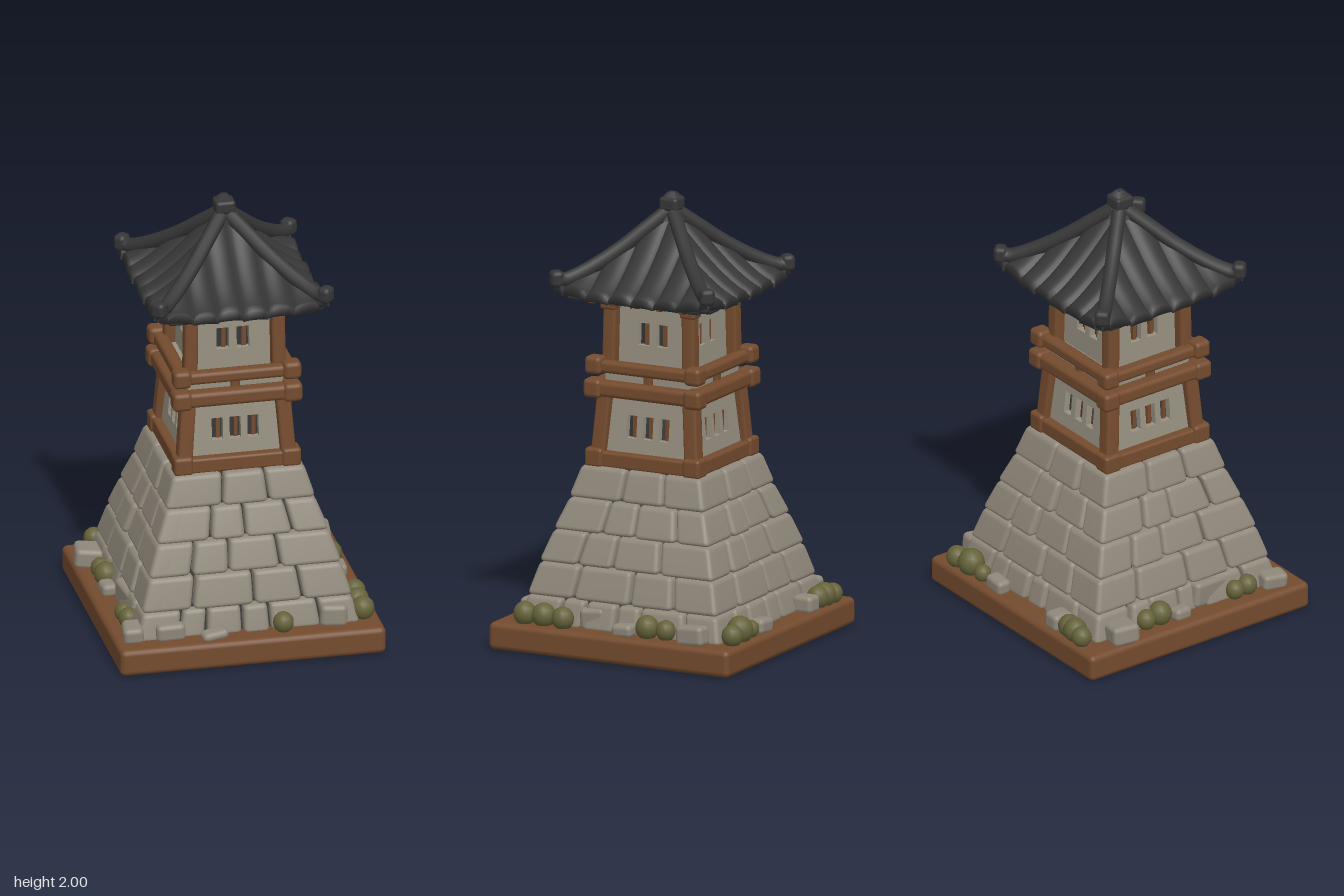
import * as THREE from 'three';
import { RoundedBoxGeometry } from 'three/addons/geometries/RoundedBoxGeometry.js';
import { mergeVertices } from 'three/addons/utils/BufferGeometryUtils.js';

const mat = (name, color, side = THREE.FrontSide) => {
  const m = new THREE.MeshStandardMaterial({ color, side });
  m.name = name;
  return m;
};

export function createModel() {
  const tower = new THREE.Group();
  tower.name = 'watchtower';
  const wood = mat('wood', 0x744b2e);
  const stone = mat('stone', 0x8f877a);
  const mortar = mat('mortar', 0x3c3b3c);
  const plaster = mat('plaster', 0x979081);
  const tile = mat('roof tile', 0x363637, THREE.DoubleSide);
  const moss = mat('moss', 0x65623a);

  let seed = 7;
  const rnd = () => (seed = (seed * 16807) % 2147483647) / 2147483647;
  const add = (parent, name, geo, m, x = 0, y = 0, z = 0) => {
    const mesh = new THREE.Mesh(geo, m);
    mesh.name = name;
    mesh.position.set(x, y, z);
    parent.add(mesh);
    return mesh;
  };
  const rbox = (w, h, d, r = 0.012) => new RoundedBoxGeometry(w, h, d, 2, r);
  // Moves every vertex by a rule and recomputes the normals
  const warp = (geo, rule) => {
    const p = geo.attributes.position, v = new THREE.Vector3();
    for (let i = 0; i < p.count; i++) {
      rule(v.fromBufferAttribute(p, i));
      p.setXYZ(i, v.x, v.y, v.z);
    }
    geo.computeVertexNormals();
    return geo;
  };
  // Rounded box with shared vertices, so that it stays smooth when warped
  const softBox = (w, h, d, r) => {
    const geo = rbox(w, h, d, r);
    geo.deleteAttribute('normal');
    geo.deleteAttribute('uv');
    return mergeVertices(geo, 1e-5);
  };
  // Builds the same thing on all four sides
  const fourSides = (name, build) => {
    for (let k = 0; k < 4; k++) {
      const side = new THREE.Group();
      side.name = name;
      side.rotation.y = k * Math.PI / 2;
      build(side, k);
      tower.add(side);
    }
  };
  // Square frustum with half widths at bottom and top
  const frustum = (h0, h1, height) =>
    new THREE.CylinderGeometry(h1 * Math.SQRT2, h0 * Math.SQRT2, height, 4).rotateY(Math.PI / 4);

  // Ground slab
  add(tower, 'groundSlab', rbox(1.19, 0.122, 1.19, 0.025), wood, 0, 0.061, 0);

  // Battered stone base: courses of tapered blocks around a mortar core
  add(tower, 'mortarCore', frustum(0.465, 0.255, 0.69), mortar, 0, 0.455, 0);
  const courses = [ // bottom y, top y, bottom half, top half, joints as fractions
    [0.11, 0.235, 0.5, 0.468, [-1, -0.62, -0.38, -0.05, 0.2, 0.66, 1]],
    [0.235, 0.38, 0.472, 0.43, [-1, -0.52, 0.07, 0.53, 1]],
    [0.38, 0.52, 0.434, 0.385, [-1, -0.56, -0.17, 0.37, 1]],
    [0.52, 0.66, 0.388, 0.334, [-1, -0.38, 0.03, 0.58, 1]],
    [0.66, 0.80, 0.338, 0.295, [-1, -0.24, 0.38, 1]],
  ];
  fourSides('stoneSide', (side, k) => {
    courses.forEach(([y0, y1, h0, h1, cuts]) => {
      const hm = (h0 + h1) / 2, h = y1 - y0;
      for (let i = 0; i < cuts.length - 1; i++) {
        const first = i === 0, last = i === cuts.length - 2, corner = first || last;
        const a = first ? -1 : cuts[i] + 0.01 + (k ? (rnd() - 0.5) * 0.02 : 0);
        const b = last ? 1 : cuts[i + 1] - 0.01;
        const out = corner ? 0 : (rnd() - 0.5) * 0.016;
        const tilt = corner ? 0 : (rnd() - 0.5) * 0.08;
        const geo = warp(softBox((b - a) * hm, h, 0.1, 0.022), (v) => {
          const half = h0 + (h1 - h0) * (v.y + h / 2) / h;
          v.x = (v.x + (a + b) / 2 * hm) * half / hm + v.y * tilt;
          v.z += half - 0.05 + out;
        });
        add(side, 'stoneBlock', geo, stone, 0, (y0 + y1) / 2, 0);
      }
    });
  });

  // Loose rocks: x, z, width, height, depth
  [[-0.52, -0.38, 0.13, 0.09, 0.13], [0.52, -0.38, 0.08, 0.09, 0.14], [-0.51, 0.45, 0.09, 0.075, 0.12],
    [-0.16, 0.52, 0.12, 0.045, 0.07], [0.52, -0.04, 0.07, 0.06, 0.1], [-0.51, -0.05, 0.07, 0.06, 0.09],
    [0.17, -0.535, 0.11, 0.07, 0.07], [-0.26, -0.525, 0.09, 0.08, 0.1], [-0.35, 0.49, 0.13, 0.08, 0.06],
    [0.38, 0.49, 0.12, 0.1, 0.06], [-0.45, 0.14, 0.08, 0.12, 0.2], [0.46, 0.14, 0.06, 0.1, 0.12],
  ].forEach(([x, z, w, h, d]) => {
    const rock = add(tower, 'looseRock', rbox(w, h, d, 0.022), stone, x, 0.112 + h / 2, z);
    rock.rotation.set(rnd() * 0.2 - 0.1, rnd() * 0.3 - 0.15, rnd() * 0.2 - 0.1);
  });

  // Mossy bushes: x, z, radius
  [[-0.46, -0.55, 0.045], [-0.4, -0.54, 0.053], [-0.35, -0.535, 0.05], [0.28, -0.54, 0.038], [0.37, -0.535, 0.06],
    [0.46, -0.545, 0.048], [-0.5, -0.23, 0.045], [-0.495, -0.15, 0.053], [0.505, -0.24, 0.045], [0.51, -0.15, 0.053],
    [-0.505, 0.25, 0.042], [-0.5, 0.32, 0.045], [0.525, 0.26, 0.05], [0.515, 0.36, 0.053], [0.52, 0.45, 0.052],
    [0.15, 0.515, 0.046],
  ].forEach(([x, z, r]) => {
    add(tower, 'bush', new THREE.SphereGeometry(r, 14, 10), moss, x, 0.13 + r * 0.65, z).scale.y = 1.05;
  });

  // Plaster wall with window openings, leaning inward
  const wall = (side, y0, y1, half, z0, z1, winX, winY, winW, winH) => {
    const shape = new THREE.Shape([[-half, 0], [half, 0], [half, y1 - y0], [-half, y1 - y0]]
      .map(([x, y]) => new THREE.Vector2(x, y)));
    winX.forEach((x) => {
      const l = x - winW / 2, r = x + winW / 2, b = winY - y0, t = b + winH;
      shape.holes.push(new THREE.Path([[l, b], [l, t], [r, t], [r, b]].map(([p, q]) => new THREE.Vector2(p, q))));
    });
    const lean = (z1 - z0) / (y1 - y0);
    const geo = new THREE.ExtrudeGeometry(shape, { depth: 0.03, bevelEnabled: false });
    add(side, 'plasterWall', warp(geo, (v) => { v.z += z0 - 0.03 + v.y * lean; }), plaster, 0, y0, 0);
    // Wooden slat inside each opening
    winX.forEach((x) => add(side, 'windowSlat', new THREE.BoxGeometry(winW * 0.35, winH, 0.01), wood,
      x + winW * 0.12, winY + winH / 2, z0 + lean * (winY - y0 + winH / 2) - 0.022));
  };
  add(tower, 'lowerRoomCore', frustum(0.205, 0.178, 0.33), mortar, 0, 0.96, 0);
  add(tower, 'upperRoomCore', frustum(0.15, 0.143, 0.34), mortar, 0, 1.4, 0);
  add(tower, 'balconyFloor', new THREE.BoxGeometry(0.43, 0.09, 0.43), plaster, 0, 1.19, 0);

  fourSides('storeySide', (side) => {
    wall(side, 0.86, 1.13, 0.2, 0.235, 0.208, [-0.08, 0, 0.08], 0.93, 0.05, 0.1);
    wall(side, 1.24, 1.57, 0.175, 0.181, 0.173, [-0.045, 0.045], 1.34, 0.056, 0.1);
    // Sill and the two balcony rails
    add(side, 'sillBeam', rbox(0.48, 0.07, 0.075), wood, 0, 0.83, 0.237);
    add(side, 'lowerRail', rbox(0.56, 0.07, 0.07, 0.02), wood, 0, 1.145, 0.245);
    add(side, 'upperRail', rbox(0.55, 0.055, 0.06, 0.018), wood, 0, 1.243, 0.238);
    add(side, 'railSpacer', rbox(0.04, 0.06, 0.04, 0.01), wood, 0, 1.195, 0.215);
    add(side, 'eaveBeam', rbox(0.44, 0.045, 0.05), wood, 0, 1.55, 0.195);
    // Corner posts with feet, rail blocks and caps
    const post = (y0, y1, c0, c1, w) => warp(softBox(w, y1 - y0, w, 0.014), (v) => {
      const c = c0 + (c1 - c0) * (v.y / (y1 - y0) + 0.5);
      v.x += c;
      v.z += c;
    });
    add(side, 'lowerPost', post(0.82, 1.14, 0.234, 0.21, 0.068), wood, 0, 0.98, 0);
    add(side, 'upperPost', post(1.22, 1.56, 0.198, 0.193, 0.062), wood, 0, 1.39, 0);
    add(side, 'postFoot', rbox(0.085, 0.085, 0.085, 0.015), wood, 0.242, 0.835, 0.242);
    add(side, 'lowerRailBlock', rbox(0.085, 0.085, 0.085, 0.02), wood, 0.248, 1.145, 0.248);
    add(side, 'upperRailBlock', rbox(0.08, 0.08, 0.08, 0.02), wood, 0.246, 1.248, 0.246);
    add(side, 'postCap', rbox(0.075, 0.05, 0.075), wood, 0.197, 1.52, 0.197);
    // Rafters under the eaves
    for (let i = -2; i <= 2; i++) add(side, 'rafter', rbox(0.035, 0.035, 0.14, 0.008), wood, i * 0.112, 1.558, 0.265);
  });

  // Roof: curved tile strips, cut off by the hips and lifted at the corners
  const E = 0.385;
  const roofY = (d) => 1.585 + 0.33 * Math.pow(Math.max(0, 1 - d / 0.39), 1.35);
  const lift = (x, d) => 0.035 * Math.pow(Math.abs(x) / E, 4) * (d / E);
  const edges = [-0.378, -0.336, -0.224, -0.112, 0, 0.112, 0.224, 0.336, 0.378];
  fourSides('roofSide', (side) => {
    for (let i = 0; i < edges.length - 1; i++) {
      const x0 = edges[i], w = edges[i + 1] - x0, rows = 12;
      const eave = E - 0.008 * (i % 2);
      const geo = warp(new THREE.PlaneGeometry(1, 1, 8, rows), (v) => {
        const s = v.x + 0.5, row = Math.round((0.5 - v.y) * rows), t = Math.min(1, row / (rows - 2));
        const x = x0 + s * w, start = Math.abs(x);
        const d = start + (Math.max(eave, start) - start) * t;
        const bulge = 0.027 * Math.pow(Math.sin(Math.PI * Math.min(1, Math.max(0, s))), 0.6);
        const y = roofY(d) + lift(x, d) + bulge - 0.008;
        // The last two rows fold down and back under the eave
        if (row <= rows - 2) v.set(x, y, d);
        else if (row === rows - 1) v.set(x, y - 0.022 - bulge * 0.8, d + 0.004);
        else v.set(x, 1.555 + lift(x, d), d - 0.06);
      });
      add(side, 'tileStrip', geo, tile);
      // Rounded tile end hanging below the eave
      if (w > 0.1) add(side, 'tileEnd', rbox(0.1, 0.034, 0.085, 0.015), tile, x0 + w / 2, 1.57, 0.325);
    }
    // Hip ridge ending in an upturned block
    const pts = [[0.02, 1.91], [0.09, 1.84], [0.16, 1.77], [0.24, 1.703], [0.31, 1.656], [0.35, 1.64], [0.375, 1.65]];
    const curve = new THREE.CatmullRomCurve3(pts.map(([d, y]) => new THREE.Vector3(d, y - 0.003, d)));
    add(side, 'hipRidge', new THREE.TubeGeometry(curve, 24, 0.033, 10), tile);
    add(side, 'ridgeTip', rbox(0.068, 0.075, 0.06, 0.022), tile, 0.373, 1.645, 0.373).rotation.y = Math.PI / 4;
    add(side, 'ridgeUnderside', rbox(0.09, 0.045, 0.09, 0.018), tile, 0.325, 1.586, 0.325);
  });
  add(tower, 'soffit', new THREE.BoxGeometry(0.68, 0.02, 0.68), tile, 0, 1.578, 0);

  // Finial at the peak
  add(tower, 'finialCollar', frustum(0.055, 0.035, 0.05), tile, 0, 1.9, 0);
  add(tower, 'finial', rbox(0.09, 0.06, 0.09, 0.015), tile, 0, 1.948, 0);
  add(tower, 'finialCap', frustum(0.038, 0.014, 0.03), tile, 0, 1.985, 0);
  return tower;
}
